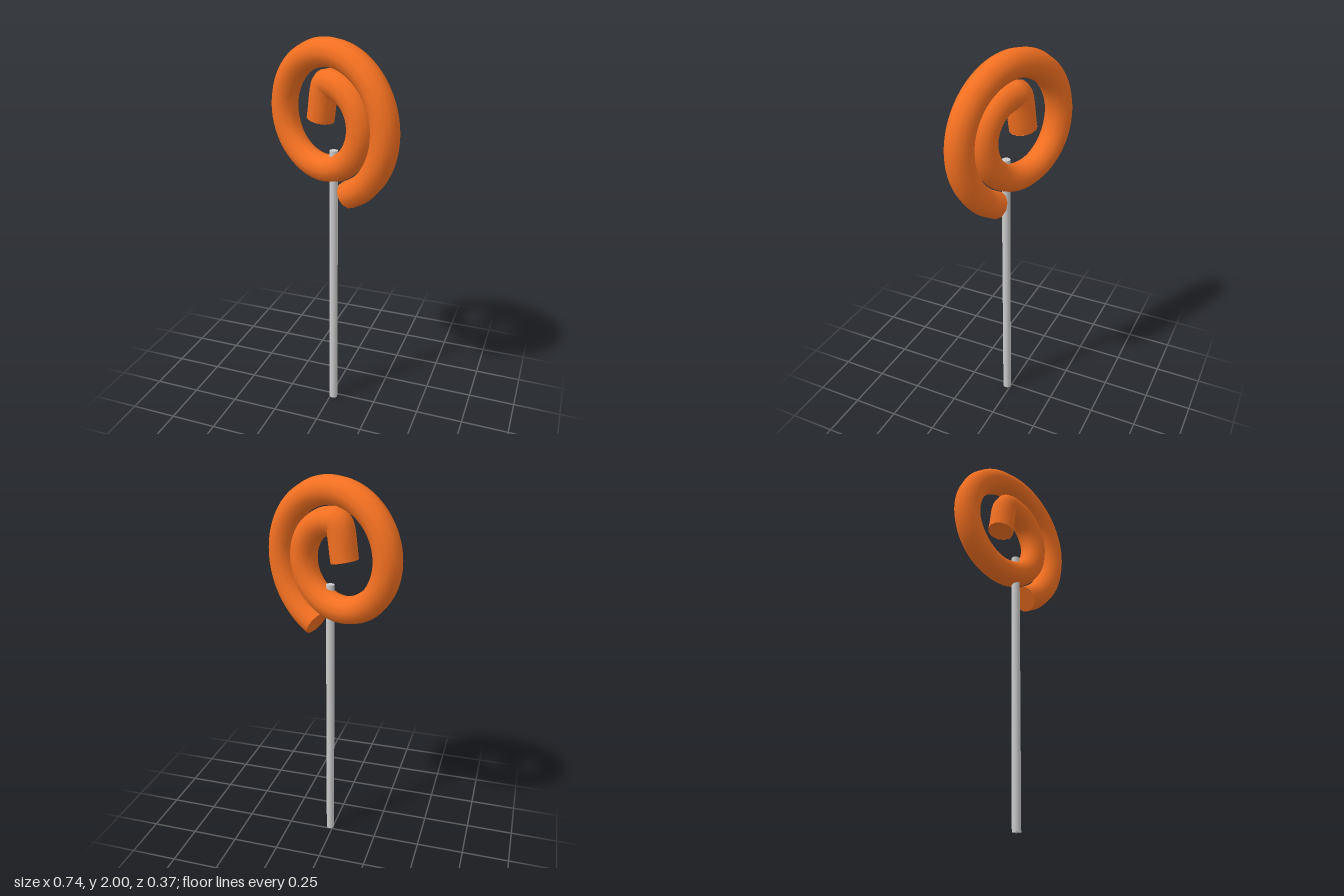
import * as THREE from 'three';

const TUBE_RADIUS = 0.07;
const TUBE_SIDES = 12;

// Flat spiral, from the outer tail inwards, with a short straight end in the middle
function spiralCurve() {
  const centre = new THREE.Vector2(-0.036, 1.608);
  const pitch = 0.145 / (2 * Math.PI);
  const from = THREE.MathUtils.degToRad(-69);
  const to = THREE.MathUtils.degToRad(450);
  const steps = 40;
  const points = [];
  for (let i = 0; i <= steps; i++) {
    const t = from + (to - from) * i / steps;
    const r = 0.358 - pitch * t;
    points.push(new THREE.Vector3(centre.x + r * Math.cos(t), centre.y + r * Math.sin(t), 0));
  }
  points.push(new THREE.Vector3(-0.077, 1.603, 0));
  return new THREE.CatmullRomCurve3(points);
}

export function createModel() {
  const model = new THREE.Group();
  const orange = new THREE.MeshStandardMaterial({ color: 0xf37021, side: THREE.DoubleSide });
  const grey = new THREE.MeshStandardMaterial({ color: 0xcccccc });

  // Candy swirl, turned slightly about the upright axis
  const candy = new THREE.Group();
  candy.name = 'candySwirl';
  candy.rotation.y = THREE.MathUtils.degToRad(-21.5);
  const curve = spiralCurve();
  const coil = new THREE.Mesh(new THREE.TubeGeometry(curve, 160, TUBE_RADIUS, TUBE_SIDES), orange);
  coil.name = 'coil';
  candy.add(coil);

  // Flat ends of the coil
  for (const [name, t, sign] of [['outerEnd', 0, -1], ['innerEnd', 1, 1]]) {
    const end = new THREE.Mesh(new THREE.CircleGeometry(TUBE_RADIUS, TUBE_SIDES), orange);
    end.name = name;
    end.position.copy(curve.getPointAt(t));
    const outward = curve.getTangentAt(t).multiplyScalar(sign);
    end.quaternion.setFromUnitVectors(new THREE.Vector3(0, 0, 1), outward);
    candy.add(end);
  }
  model.add(candy);

  // Stick, reaching into the lower turns of the coil
  const height = 1.465;
  const stick = new THREE.Mesh(new THREE.CylinderGeometry(0.022, 0.022, height, 12), grey);
  stick.name = 'stick';
  stick.position.set(0.016, height / 2, 0.022);
  model.add(stick);

  return model;
}
